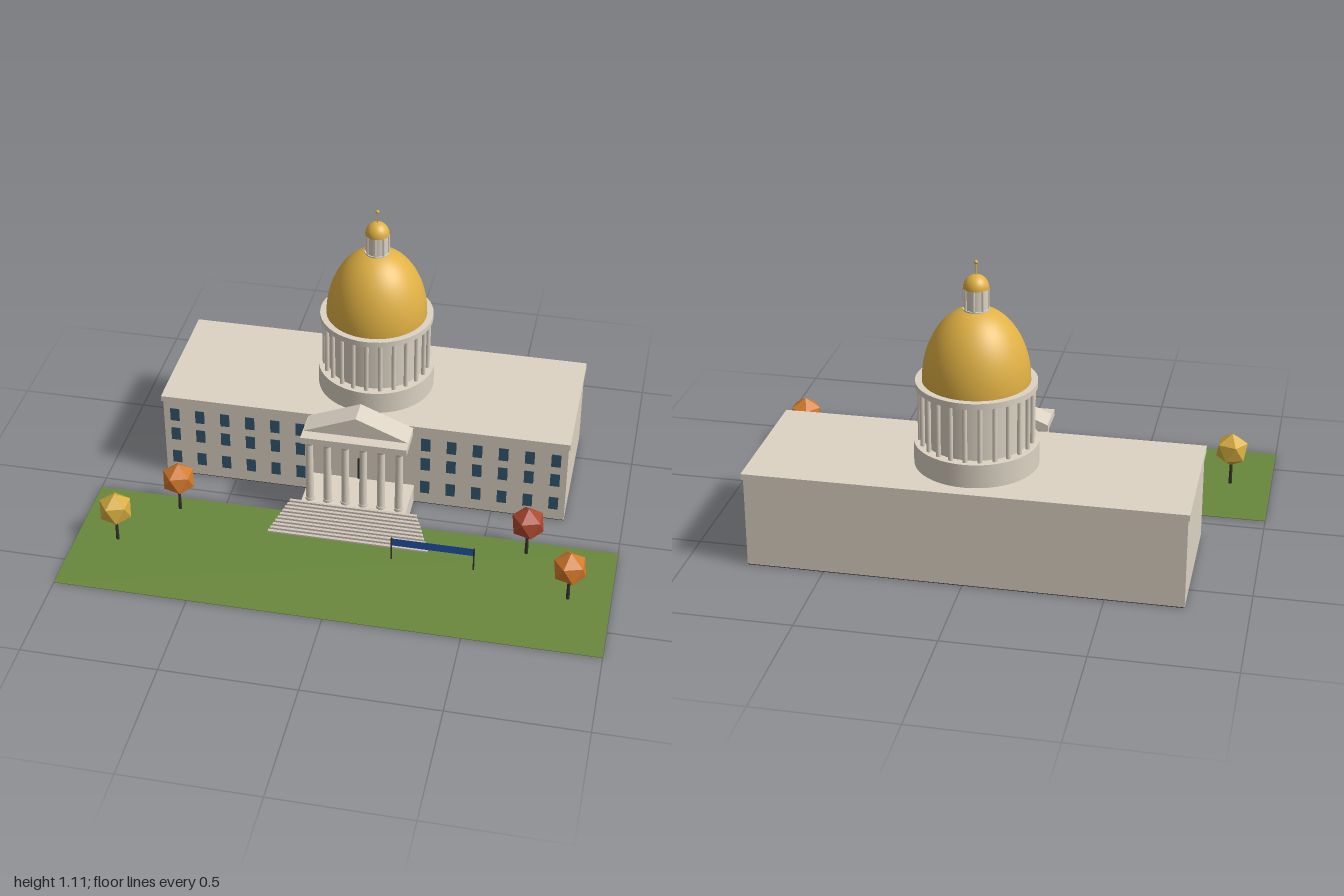
import * as THREE from 'three';

const mat = (name, color) => {
  const m = new THREE.MeshStandardMaterial({ color });
  m.name = name;
  return m;
};

export function createModel() {
  const root = new THREE.Group();
  root.name = 'domedCapitol';
  const stone = mat('stone', 0xddd3c4);
  const stepStone = mat('stepStone', 0xd2c7bc);
  const gold = mat('gold', 0xe0b144);
  const glass = mat('windowGlass', 0x36576f);
  const dark = mat('darkBrown', 0x35322e);
  const grass = mat('grass', 0x69883c);
  const blue = mat('bannerBlue', 0x2352ab);
  const orange = mat('orangeLeaves', 0xd27a2b);
  const red = mat('redLeaves', 0xac482c);
  const yellow = mat('yellowLeaves', 0xd6ae40);
  orange.flatShading = red.flatShading = yellow.flatShading = true;
  blue.side = THREE.DoubleSide;

  const add = (name, geo, material, x = 0, y = 0, z = 0, parent = root) => {
    const m = new THREE.Mesh(geo, material);
    m.name = name;
    m.position.set(x, y, z);
    parent.add(m);
    return m;
  };
  // box given by its extents
  const box = (name, material, x0, x1, y0, y1, z0, z1, parent = root) =>
    add(name, new THREE.BoxGeometry(x1 - x0, y1 - y0, z1 - z0), material,
      (x0 + x1) / 2, (y0 + y1) / 2, (z0 + z1) / 2, parent);
  // upright cylinder from y0 to y1
  const post = (name, material, rTop, rBottom, y0, y1, x, z, sides, parent = root) =>
    add(name, new THREE.CylinderGeometry(rTop, rBottom, y1 - y0, sides), material,
      x, (y0 + y1) / 2, z, parent);
  const group = (name) => {
    const g = new THREE.Group();
    g.name = name;
    root.add(g);
    return g;
  };

  // lawn, dark foundation and main block
  box('lawn', grass, -1, 1, 0, 0.002, 0.06, 0.633);
  box('foundation', dark, -0.777, 0.777, 0, 0.003, -0.627, -0.097);
  box('mainBlock', stone, -0.778, 0.778, 0.003, 0.34, -0.628, -0.096);
  box('roofSlab', stone, -0.784, 0.784, 0.338, 0.361, -0.636, -0.089);

  // three rows of windows on both wings
  const windows = group('windows');
  for (const side of [-1, 1])
    for (let i = 0; i < 6; i++)
      for (const y of [0.078, 0.187, 0.277]) {
        const x = side * (0.242 + i * 0.0985);
        box('window', glass, x - 0.018, x + 0.018, y - 0.028, y + 0.028, -0.097, -0.094, windows);
      }

  // entrance steps, narrowing as they rise
  const steps = group('entranceSteps');
  const n = 10;
  for (let i = 0; i < n; i++) {
    const w = 0.305 - i * 0.0068;
    const z = 0.197 - i * 0.0118;
    box('step', stepStone, -w, w, 0.002, 0.008 * (i + 1), z - 0.0118, z, steps);
  }

  // portico
  const portico = group('portico');
  box('platformFooting', dark, -0.199, 0.199, 0, 0.003, -0.097, 0.06, portico);
  box('platform', stone, -0.2, 0.2, 0.003, 0.08, -0.096, 0.082, portico);
  box('door', dark, -0.018, 0.018, 0.08, 0.176, -0.097, -0.092, portico);
  for (let i = 0; i < 6; i++) {
    const x = (i - 2.5) * 0.068;
    post('columnBase', stone, 0.018, 0.018, 0.08, 0.09, x, 0.061, 16, portico);
    post('column', stone, 0.0135, 0.0155, 0.09, 0.338, x, 0.061, 16, portico);
    post('capital', stone, 0.019, 0.0135, 0.335, 0.35, x, 0.061, 16, portico);
  }
  box('entablature', stone, -0.2, 0.2, 0.348, 0.375, -0.055, 0.082, portico);
  const gable = new THREE.Shape([
    new THREE.Vector2(-0.2, 0), new THREE.Vector2(0.2, 0), new THREE.Vector2(0, 0.082)]);
  add('pediment', new THREE.ExtrudeGeometry(gable, { depth: 0.098, bevelEnabled: false }),
    stone, 0, 0.374, -0.061, portico);

  // drum with a ring of columns
  const cz = -0.364;
  const drum = group('drum');
  post('drumBase', stone, 0.221, 0.221, 0.361, 0.448, 0, cz, 48, drum);
  post('drumWall', stone, 0.185, 0.185, 0.448, 0.655, 0, cz, 48, drum);
  for (let i = 0; i < 24; i++) {
    const a = (i / 24) * Math.PI * 2;
    post('drumColumn', stone, 0.0085, 0.0085, 0.448, 0.655,
      0.198 * Math.sin(a), cz + 0.198 * Math.cos(a), 10, drum);
  }
  post('drumCornice', stone, 0.214, 0.214, 0.652, 0.674, 0, cz, 48, drum);

  // gilded dome, lantern and finial
  const halfSphere = new THREE.SphereGeometry(1, 48, 20, 0, Math.PI * 2, 0, Math.PI / 2);
  add('dome', halfSphere, gold, 0, 0.674, cz).scale.set(0.19, 0.268, 0.19);
  const lantern = group('lantern');
  post('lanternCore', stone, 0.042, 0.042, 0.93, 1.012, 0, cz, 24, lantern);
  post('lanternBase', stone, 0.047, 0.047, 0.934, 0.939, 0, cz, 24, lantern);
  for (let i = 0; i < 8; i++) {
    const a = (i / 8) * Math.PI * 2;
    post('lanternColumn', stone, 0.005, 0.005, 0.938, 1.012,
      0.042 * Math.sin(a), cz + 0.042 * Math.cos(a), 8, lantern);
  }
  add('lanternDome', halfSphere, gold, 0, 1.012, cz, lantern).scale.set(0.045, 0.048, 0.045);
  post('spire', gold, 0.0025, 0.0025, 1.055, 1.103, 0, cz, 8, lantern);
  add('finialBall', new THREE.SphereGeometry(0.007, 12, 8), gold, 0, 1.105, cz, lantern);

  // plain banner between two posts
  const banner = group('banner');
  for (const x of [0.18, 0.487]) post('bannerPost', dark, 0.003, 0.003, 0, 0.1, x, 0.257, 8, banner);
  add('bannerCloth', new THREE.PlaneGeometry(0.307, 0.033), blue, 0.3335, 0.082, 0.257, banner);

  // faceted autumn trees, turned so one corner points up
  const crown = new THREE.IcosahedronGeometry(0.066, 0);
  crown.rotateZ(Math.atan(2 / (1 + Math.sqrt(5))));
  const trees = [[-0.845, 0.347, yellow], [-0.665, 0.125, orange], [0.665, 0.125, red], [0.845, 0.347, orange]];
  for (const [x, z, leaves] of trees) {
    const tree = group('tree');
    post('trunk', dark, 0.005, 0.007, 0, 0.09, x, z, 8, tree);
    add('foliage', crown, leaves, x, 0.145, z, tree);
  }
  return root;
}
